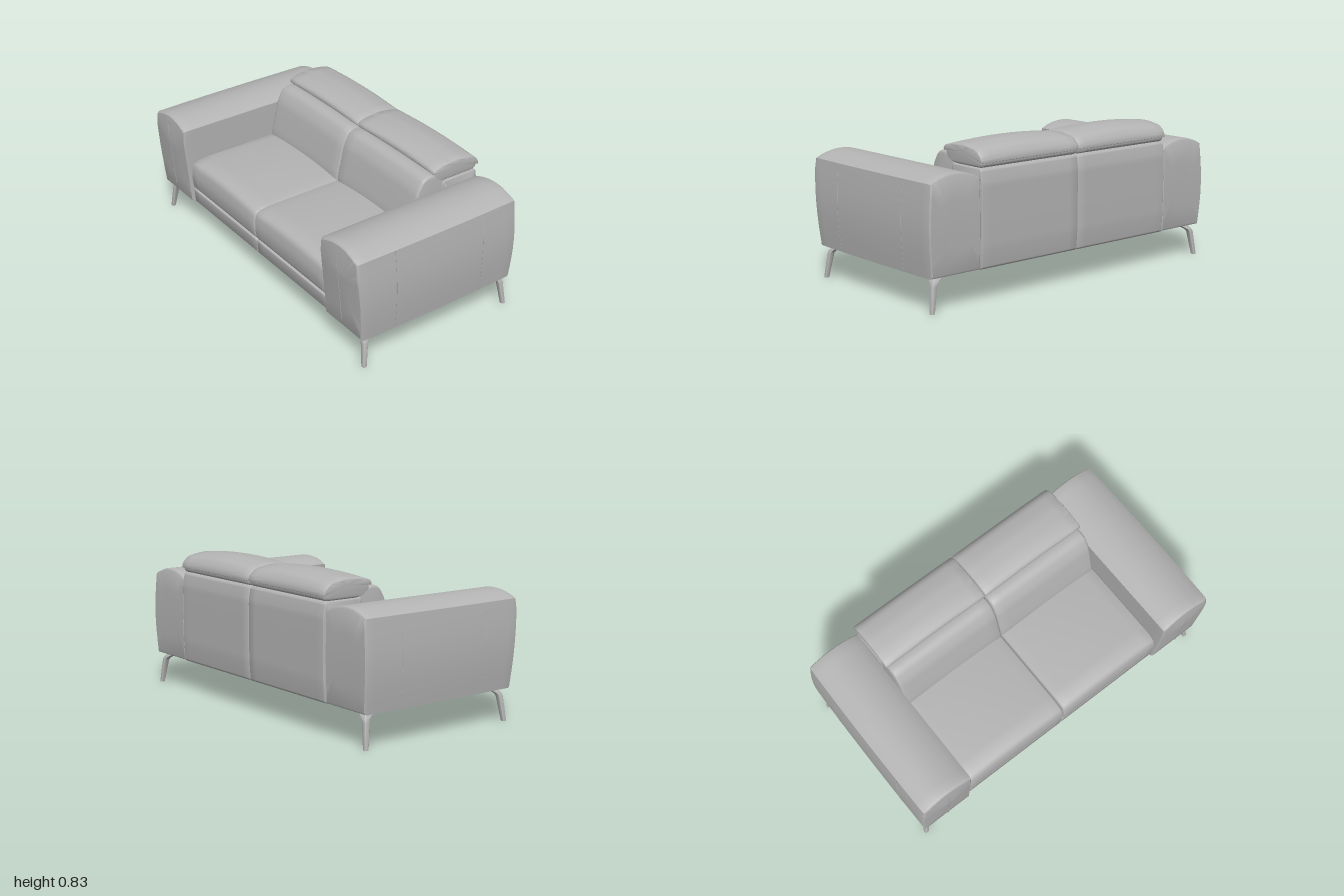
import * as THREE from 'three';
import { toCreasedNormals } from 'three/addons/utils/BufferGeometryUtils.js';

const V = (x, y, z) => new THREE.Vector3(x, y, z);

// Closed skin over a row of equal-length rings, always facing outward
function skin(rings, crease = 0.6) {
  const n = rings[0].length, tris = [];
  const centre = (r) => r.reduce((s, p) => s.add(p), V(0, 0, 0)).divideScalar(n);
  for (let i = 0; i < rings.length - 1; i++) {
    for (let j = 0; j < n; j++) {
      const k = (j + 1) % n;
      const a = rings[i][j], b = rings[i][k], c = rings[i + 1][k], d = rings[i + 1][j];
      tris.push([a, b, c], [a, c, d]);
    }
  }
  const first = rings[0], last = rings[rings.length - 1];
  const c0 = centre(first), c1 = centre(last);
  for (let j = 0; j < n; j++) {
    const k = (j + 1) % n;
    tris.push([c0, first[k], first[j]], [c1, last[j], last[k]]);
  }
  const volume = tris.reduce((s, [a, b, c]) => s + a.dot(b.clone().cross(c)), 0);
  const points = tris.flatMap(([a, b, c]) => (volume < 0 ? [a, c, b] : [a, b, c]));
  const geo = new THREE.BufferGeometry().setFromPoints(points);
  return toCreasedNormals(geo, crease);
}

// Polygon with softened corners
function soften(pts, radius) {
  const shape = new THREE.Shape();
  const n = pts.length, P = pts.map(([a, b]) => new THREE.Vector2(a, b));
  P.forEach((p, i) => {
    const toward = (q) => {
      const d = p.distanceTo(q);
      return p.clone().lerp(q, Math.min(radius, d * 0.45) / d);
    };
    const a = toward(P[(i + n - 1) % n]), b = toward(P[(i + 1) % n]);
    if (i) shape.lineTo(a.x, a.y); else shape.moveTo(a.x, a.y);
    shape.quadraticCurveTo(p.x, p.y, b.x, b.y);
  });
  return shape.getPoints(4);
}

// Upholstered piece: a (z, y) profile swept across x, ends rounded, top crowned
function cushion(profile, x0, x1, { round = 0.015, crown = 0, corner = 0.03 } = {}) {
  const pts = soften(profile, corner);
  const box = new THREE.Box2().setFromPoints(pts);
  const mid = box.getCenter(new THREE.Vector2()), size = box.getSize(new THREE.Vector2());
  const stations = [];
  for (let i = 0; i <= 4; i++) {
    const a = (i / 4) * Math.PI / 2;
    stations.push([x0 + round * (1 - Math.sin(a)), round * (1 - Math.cos(a))]);
  }
  stations.reverse();
  stations.forEach((s, i) => { s[0] = x0 + round * (1 - Math.cos((i / 4) * Math.PI / 2)); s[1] = round * (1 - Math.sin((i / 4) * Math.PI / 2)); });
  const ends = stations.map(([x, d]) => [x1 - (x - x0), d]).reverse();
  for (let i = 1; i < 12; i++) stations.push([x0 + round + (x1 - x0 - 2 * round) * i / 12, 0]);
  stations.push(...ends);
  return skin(stations.map(([x, d]) => {
    const t = (2 * x - x0 - x1) / (x1 - x0);
    return pts.map((p) => {
      const z = mid.x + (p.x - mid.x) * (1 - 2 * d / size.x);
      const y = mid.y + (p.y - mid.y) * (1 - 2 * d / size.y);
      const h = Math.max(0, (y - box.min.y) / size.y);
      return V(x, y + crown * (1 - t * t) * h, z);
    });
  }), 0.7);
}

// Arm outline helpers
const outerX = (y) => 0.984 + 0.016 * Math.sin(Math.PI * (y - 0.18) / 0.48);
const frontZ = (x, y) => {
  const s = (x - 0.825) / 0.16;
  const lean = 0.482 + 0.038 * Math.min(1, (y - 0.18) / 0.42) - 0.9 * Math.max(0, y - 0.62) ** 1.5;
  return lean + 0.01 * (1 - s * s);
};
const backZ = (y) => -0.515 - 0.008 * Math.sin(Math.PI * (y - 0.18) / 0.52);

// Wide arm with bulging side, crowned top and leaning front
function arm(side) {
  const outline = [];
  for (let i = 0; i <= 8; i++) outline.push([0.667, 0.66 - 0.06 * i]);
  for (let i = 0; i <= 8; i++) outline.push([outerX(0.18 + 0.06 * i), 0.18 + 0.06 * i]);
  for (let i = 1; i < 16; i++) {
    const s = 1 - i / 8;
    outline.push([0.8255 + 0.1585 * s, 0.662 + 0.04 * (1 - s * s)]);
  }
  const rows = [[-1, 0.3], [-1, 0.012], [-0.99, 0.003], [-0.97, 0]];
  for (let i = -7; i <= 7; i++) rows.push([i / 8, 0]);
  rows.push([0.97, 0], [0.99, 0.003], [1, 0.012], [1, 0.3]);
  return skin(rows.map(([t, inset]) => outline.map(([x, y]) => {
    const k = inset > 0.1 ? 0.5 : 1 - inset / 0.25;
    const px = 0.825 + (x - 0.825) * k, py = 0.44 + (y - 0.44) * k;
    const taper = x > 0.9 ? 0.006 * t * t : 0;
    return V(side * (px - taper), py, t > 0 ? t * frontZ(px, py) : -t * backZ(py));
  })), 0.6);
}

// Splayed, bent leg from square-ish rounded sections
function leg(sx, sz) {
  const sections = [
    [0.182, 0.893, 0.39, 0.034], [0.168, 0.915, 0.413, 0.026],
    [0.15, 0.936, 0.434, 0.017], [0.135, 0.944, 0.439, 0.015], [0, 0.965, 0.455, 0.011],
  ];
  const shift = sz < 0 ? 0.043 : 0;
  return skin(sections.map(([y, x, z, h]) =>
    soften([[-h, -h], [h, -h], [h, h], [-h, h]], h * 0.4)
      .map((p) => V(sx * (x + p.x), y, sz * (z + shift + p.y)))), 0.6);
}

const seam = (points) => new THREE.TubeGeometry(new THREE.CatmullRomCurve3(points), 16, 0.002, 5);

export function createModel() {
  const model = new THREE.Group();
  model.name = 'sofa';
  const leather = new THREE.MeshStandardMaterial({ color: 0xb4b4b4 });
  leather.name = 'grey leather';
  const add = (name, geo) => {
    const mesh = new THREE.Mesh(geo, leather);
    mesh.name = name;
    model.add(mesh);
  };

  for (const s of [-1, 1]) {
    const label = s > 0 ? 'left' : 'right';
    const piece = (name, profile, inner, outer, options) =>
      add(label + name, cushion(profile, s > 0 ? inner : -outer, s > 0 ? outer : -inner, options));

    // Base rail and underside
    piece('BaseRail', [[0.465, 0.18], [0.472, 0.268], [-0.45, 0.268], [-0.45, 0.18]],
      0.001, 0.668, { round: 0.004, corner: 0.01 });
    // Rear body
    piece('BackPanel', [[-0.28, 0.18], [-0.28, 0.7], [-0.515, 0.7], [-0.528, 0.62], [-0.528, 0.3], [-0.52, 0.18]],
      0.001, 0.664, { round: 0.006, corner: 0.015 });
    // Seat cushion
    piece('SeatCushion', [[0.474, 0.272], [0.488, 0.36], [0.476, 0.445], [0.4, 0.462], [-0.22, 0.462], [-0.22, 0.272]],
      0.002, 0.664, { round: 0.012, crown: 0.018 });
    // Sloped back cushion
    piece('BackCushion', [[-0.07, 0.4], [-0.074, 0.49], [-0.118, 0.68], [-0.16, 0.752], [-0.225, 0.762], [-0.32, 0.7], [-0.32, 0.4]],
      0.002, 0.66, { round: 0.016, crown: 0.006 });
    // Headrest core and the padded cap over it
    piece('HeadrestCore', [[-0.222, 0.745], [-0.235, 0.79], [-0.38, 0.8], [-0.5, 0.785], [-0.523, 0.74], [-0.518, 0.702], [-0.25, 0.702]],
      0.004, 0.66, { round: 0.014, crown: 0.012, corner: 0.03 });
    piece('HeadrestCap', [[-0.214, 0.765], [-0.222, 0.79], [-0.29, 0.806], [-0.39, 0.81], [-0.49, 0.793], [-0.526, 0.755],
      [-0.53, 0.725], [-0.515, 0.735], [-0.48, 0.77], [-0.39, 0.785], [-0.29, 0.783], [-0.23, 0.764]],
      0.002, 0.668, { round: 0.008, crown: 0.019, corner: 0.03 });

    // Arm with stitched seams
    add(label + 'Arm', arm(s));
    for (const z of [-0.29, 0.28]) {
      const line = [];
      for (let i = 0; i <= 6; i++) {
        const y = 0.185 + 0.079 * i;
        line.push(V(s * (outerX(y) - 0.0025), y, z + (z > 0 ? 0.012 * (1 - i / 3) * -0.5 : 0)));
      }
      add(label + 'ArmSideSeam', seam(line));
    }
    add(label + 'ArmFrontSeam', seam([0.24, 0.36, 0.48, 0.6, 0.66].map((y) => V(s * 0.825, y, frontZ(0.825, y)))));

    // Legs
    add(label + 'FrontLeg', leg(s, 1));
    add(label + 'BackLeg', leg(s, -1));
  }
  return model;
}
